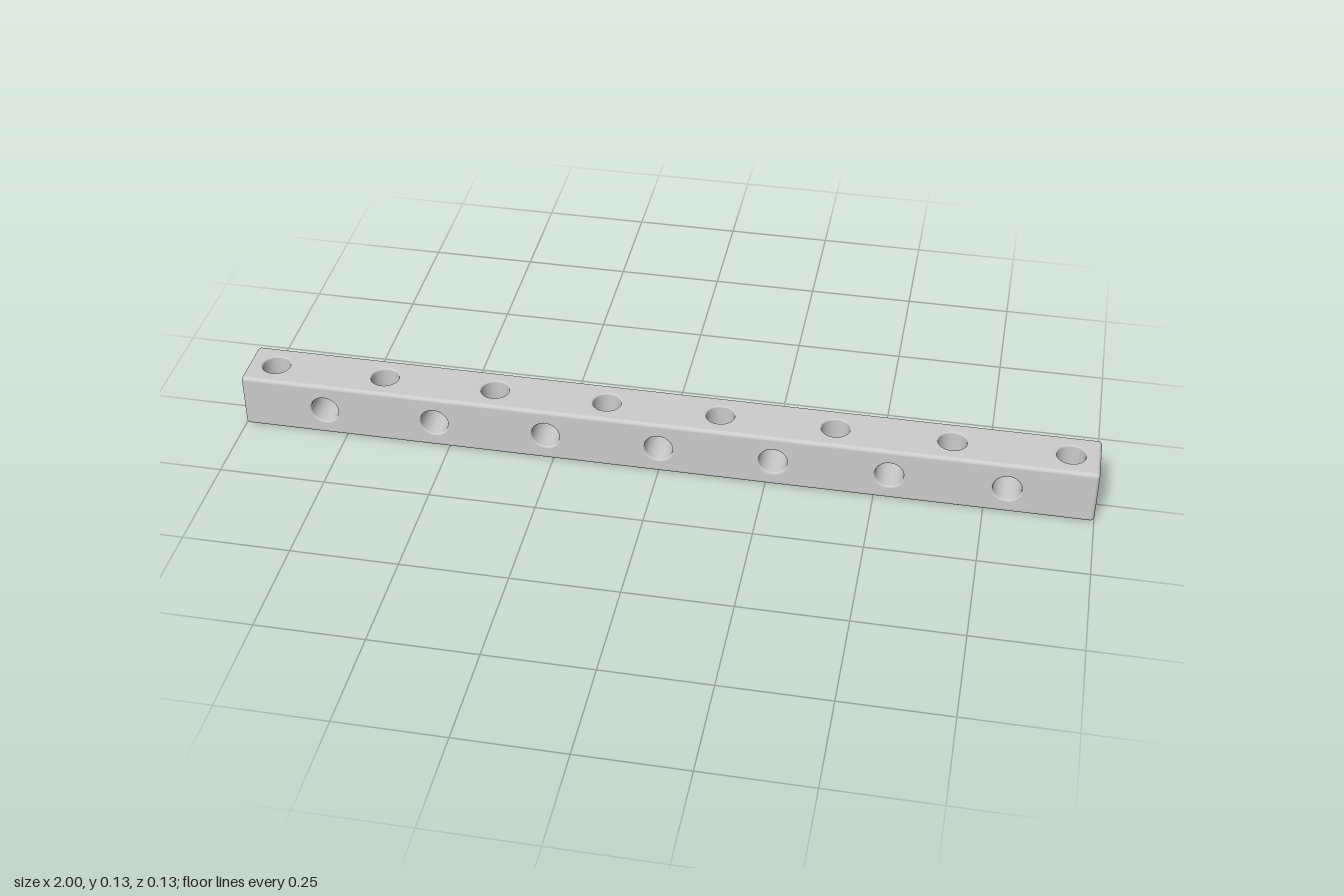
import * as THREE from 'three';
import { RoundedBoxGeometry } from 'three/addons/geometries/RoundedBoxGeometry.js';

const LENGTH = 2, SIZE = 2 / 15, HALF = SIZE / 2;
const EDGE = 0.009;                 // rounding of the beam edges
const BORE = 0.033, RIM = 0.004;    // hole radius and rim rounding
const SIDES = 32;

// Evenly spaced hole centres along the beam
const holeRow = (count) =>
  Array.from({ length: count }, (_, i) => (i - (count - 1) / 2) * 2 * SIZE);

// Rounded edges, corners and end faces; the four long flats are left out
function createShell() {
  const box = new RoundedBoxGeometry(LENGTH, SIZE, SIZE, 4, EDGE);
  const source = box.index ? box.toNonIndexed() : box;
  const p = source.attributes.position, n = source.attributes.normal;
  const positions = [], normals = [];
  for (let i = 0; i < p.count; i += 3) {
    const corners = [i, i + 1, i + 2];
    const flat = ['getY', 'getZ'].some((get) =>
      [1, -1].every((s) => s) && [1, -1].some((s) =>
        corners.every((c) => Math.abs(p[get](c) - s * HALF) < 1e-5)));
    if (flat) continue;
    for (const c of corners) {
      positions.push(p.getX(c), p.getY(c), p.getZ(c));
      normals.push(n.getX(c), n.getY(c), n.getZ(c));
    }
  }
  const shell = new THREE.BufferGeometry();
  shell.setAttribute('position', new THREE.Float32BufferAttribute(positions, 3));
  shell.setAttribute('normal', new THREE.Float32BufferAttribute(normals, 3));
  return shell;
}

// Long flat face pierced by a row of round holes
function createFace(centres) {
  const x = LENGTH / 2 - EDGE, y = HALF - EDGE;
  const shape = new THREE.Shape([
    new THREE.Vector2(-x, -y), new THREE.Vector2(x, -y),
    new THREE.Vector2(x, y), new THREE.Vector2(-x, y),
  ]);
  for (const c of centres) {
    shape.holes.push(new THREE.Path().absarc(c, 0, BORE + RIM, 0, Math.PI * 2, true));
  }
  return new THREE.ShapeGeometry(shape, SIDES / 2).translate(0, 0, HALF);
}

// Inward-facing bore with a rounded rim at both ends
function createBore() {
  const top = [];
  for (let i = 0; i <= 4; i++) {
    const a = (i / 4) * Math.PI / 2;
    top.push(new THREE.Vector2(
      BORE + RIM - RIM * Math.sin(a), HALF - RIM + RIM * Math.cos(a)));
  }
  const bottom = top.map((v) => new THREE.Vector2(v.x, -v.y)).reverse();
  return new THREE.LatheGeometry([...top, ...bottom], SIDES);
}

export function createModel() {
  const model = new THREE.Group();
  model.name = 'perforatedBeam';
  const material = new THREE.MeshStandardMaterial({ color: 0xcccccc });
  const boreMaterial = new THREE.MeshStandardMaterial({
    color: 0xcccccc, side: THREE.DoubleSide });

  const add = (name, geometry, mat = material) => {
    const mesh = new THREE.Mesh(geometry, mat);
    mesh.name = name;
    mesh.position.y = HALF;
    model.add(mesh);
    return mesh;
  };

  add('roundedEdgesAndEnds', createShell());

  // Seven holes run front to back, eight run top to bottom between them
  const across = holeRow(7), upright = holeRow(8);
  ['frontFace', 'bottomFace', 'backFace', 'topFace'].forEach((name, i) => {
    add(name, createFace(i % 2 ? upright : across)).rotation.x = i * Math.PI / 2;
  });

  const bore = createBore();
  for (const x of upright) add('uprightHole', bore, boreMaterial).position.x = x;
  for (const x of across) {
    const hole = add('crossHole', bore, boreMaterial);
    hole.position.x = x;
    hole.rotation.x = Math.PI / 2;
  }
  return model;
}
